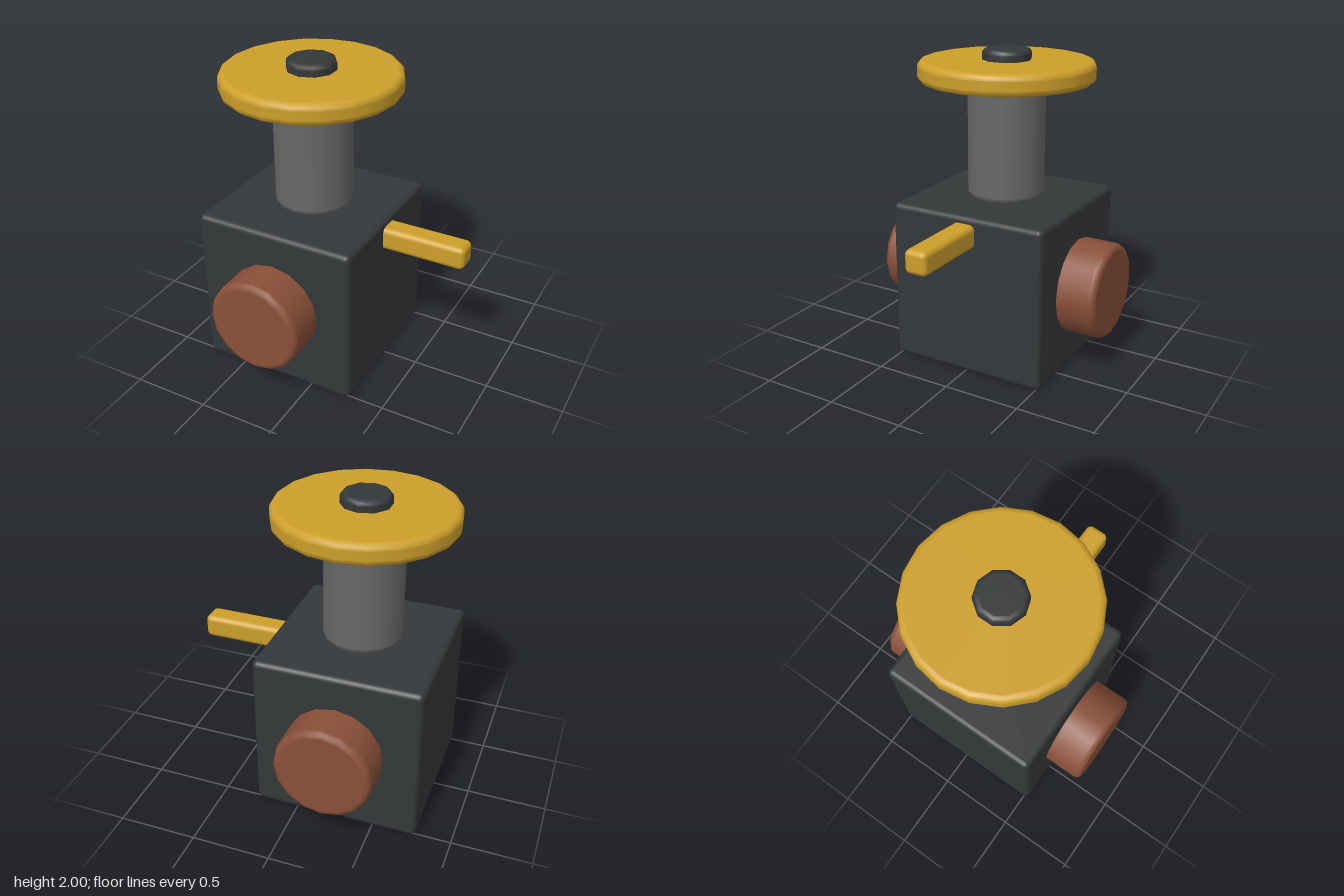
import * as THREE from 'three';
import { RoundedBoxGeometry } from 'three/addons/geometries/RoundedBoxGeometry.js';

const AXIS_X = -0.25; // the body, column and wheel share this axis
const paint = (color) => new THREE.MeshStandardMaterial({ color });

// Solid cylinder with rounded rims; the tiny inset keeps caps and sides evenly shaded
function roundedCylinder(radius, height, bevel, sides) {
  const h = height / 2, inset = 0.002, steps = 3;
  const half = [new THREE.Vector2(radius, h - bevel - inset)];
  for (let i = 0; i <= steps; i++) {
    const a = (i / steps) * Math.PI / 2;
    half.push(new THREE.Vector2(
      radius - bevel + bevel * Math.cos(a),
      h - bevel + bevel * Math.sin(a)));
  }
  half.push(new THREE.Vector2(radius - bevel - inset, h), new THREE.Vector2(0, h));
  const lower = half.map((p) => new THREE.Vector2(p.x, -p.y)).reverse();
  return new THREE.LatheGeometry([...lower, ...half], sides);
}

export function createModel() {
  const model = new THREE.Group();
  model.name = 'valve';
  const dark = paint(0x35383a);
  const gold = paint(0xcd9f2b);
  const brown = paint(0x8a5039);
  const grey = paint(0x686868);

  const add = (name, geometry, material, x, y, z = 0) => {
    const mesh = new THREE.Mesh(geometry, material);
    mesh.name = name;
    mesh.position.set(x, y, z);
    model.add(mesh);
    return mesh;
  };

  // Block body
  add('body', new RoundedBoxGeometry(1.054, 1.054, 1.054, 3, 0.035), dark, AXIS_X, 0.527);

  // Pipe running through the body from front to back
  const pipe = add('pipe', roundedCylinder(0.307, 1.55, 0.035, 16), brown, AXIS_X, 0.53);
  pipe.rotation.x = Math.PI / 2;

  // Upright column, hand wheel and the knob on top
  add('column', roundedCylinder(0.248, 0.75, 0.035, 16), grey, AXIS_X, 1.429);
  add('handWheel', roundedCylinder(0.557, 0.132, 0.035, 20), gold, AXIS_X, 1.864);
  add('knob', roundedCylinder(0.155, 0.124, 0.03, 10), dark, AXIS_X, 1.938);

  // Square lever sticking out of the left side
  add('lever', new RoundedBoxGeometry(0.62, 0.15, 0.15, 3, 0.035), gold, 0.495, 0.935);

  return model;
}
